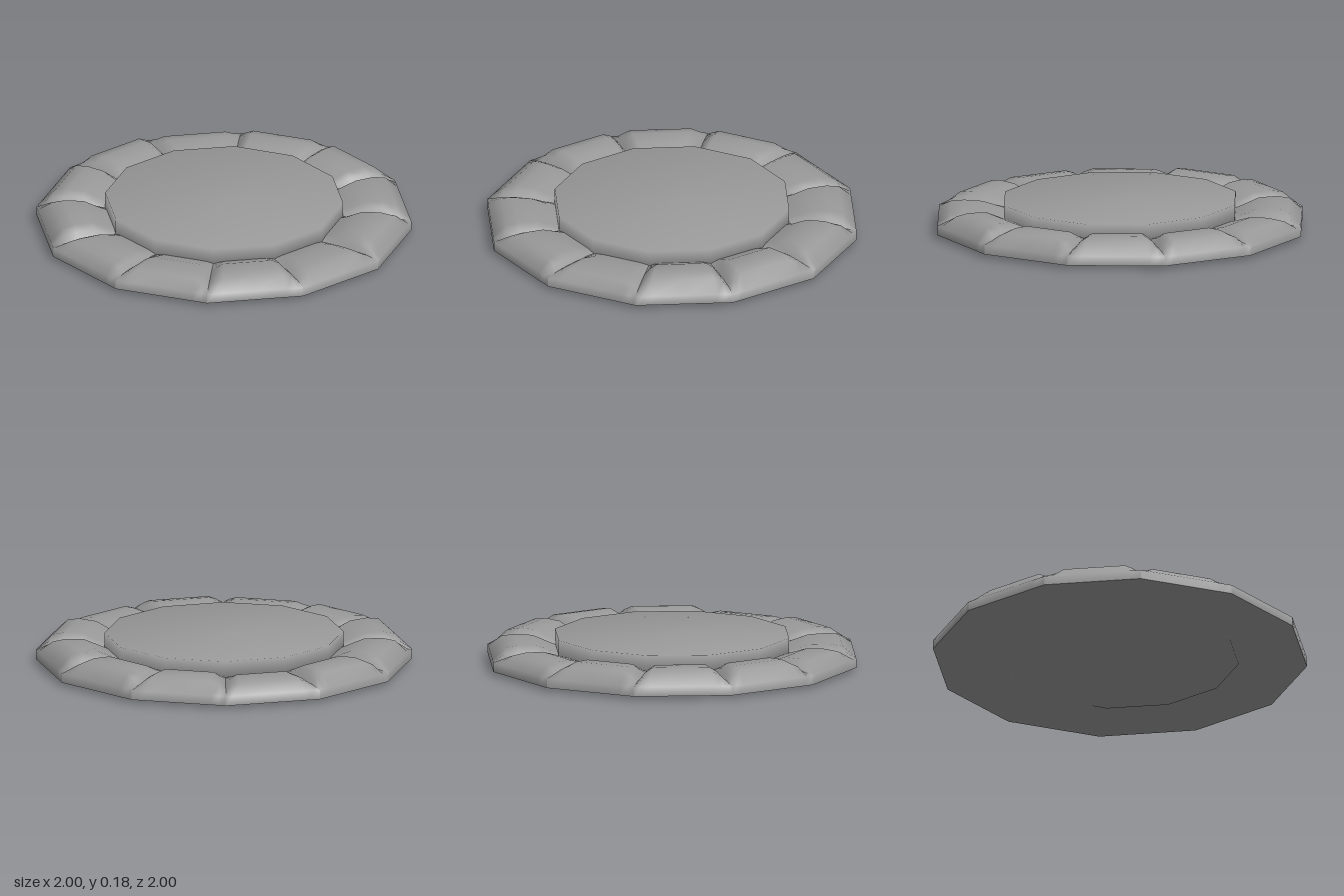
import * as THREE from 'three';

const SIDES = 12;
const STEP = (Math.PI * 2) / SIDES;

// One rim stone: cross-sections swept along a straight side of the 12-gon,
// dipping at both ends to leave a notch at each joint.
function rimStone(index, height) {
  const along = [0, 0.07, 0.16, 0.5, 0.84, 0.93, 1];
  const lift = [0, 0.6, 1, 1, 1, 0.6, 0];
  const crest = [0, 0, 0.8, 1, 0.93, 0.35, 0.1];
  const radii = [1, 1, 0.93, 0.86, 0.76, 0.67, 0.62];
  const low = [0.022, 0.072, 0.085, 0.088, 0.088, 0.085, 0.08];
  const a = index * STEP, b = a + STEP;
  const pos = [], idx = [], n = radii.length;
  along.forEach((t, i) => {
    const x = Math.sin(a) * (1 - t) + Math.sin(b) * t;
    const z = Math.cos(a) * (1 - t) + Math.cos(b) * t;
    radii.forEach((r, j) => {
      const y = low[j] + (height - low[j]) * crest[j] * lift[i];
      pos.push(x * r, y, z * r);
      if (i > 0 && j > 0) {
        const q = i * n + j, p = q - n;
        idx.push(p - 1, q - 1, q, p - 1, q, p);
      }
    });
  });
  const g = new THREE.BufferGeometry();
  g.setAttribute('position', new THREE.Float32BufferAttribute(pos, 3));
  g.setIndex(idx);
  g.computeVertexNormals();
  return g;
}

export function createModel() {
  const stone = new THREE.MeshStandardMaterial({ color: 0x999999 });
  stone.name = 'grey stone';
  const model = new THREE.Group();
  model.name = 'stonePlatform';
  const add = (geometry, name, parent = model) => {
    const mesh = new THREE.Mesh(geometry, stone);
    mesh.name = name;
    parent.add(mesh);
    return mesh;
  };

  // Ring of stones, a few of them worn lower
  const rim = new THREE.Group();
  rim.name = 'rimStones';
  model.add(rim);
  const heights = [0.13, 0.138, 0.122, 0.15, 0.15, 0.15, 0.145, 0.13, 0.15, 0.15, 0.15, 0.132];
  heights.forEach((h, k) => add(rimStone(k, h), 'rimStone' + (k + 1), rim));

  // Flat underside of the ring
  const under = new THREE.RingGeometry(0.6, 1, SIDES, 1);
  under.rotateX(Math.PI / 2);
  under.translate(0, 0.022, 0);
  add(under, 'rimUnderside');

  // Central slab, slightly domed above and below
  const profile = [[0, 0.002], [0.2, 0.01], [0.635, 0.02], [0.635, 0.168], [0, 0.182]]
    .map(([r, y]) => new THREE.Vector2(r, y));
  const slab = add(new THREE.LatheGeometry(profile, SIDES), 'centreSlab');
  slab.rotation.z = -0.006;

  return model;
}
